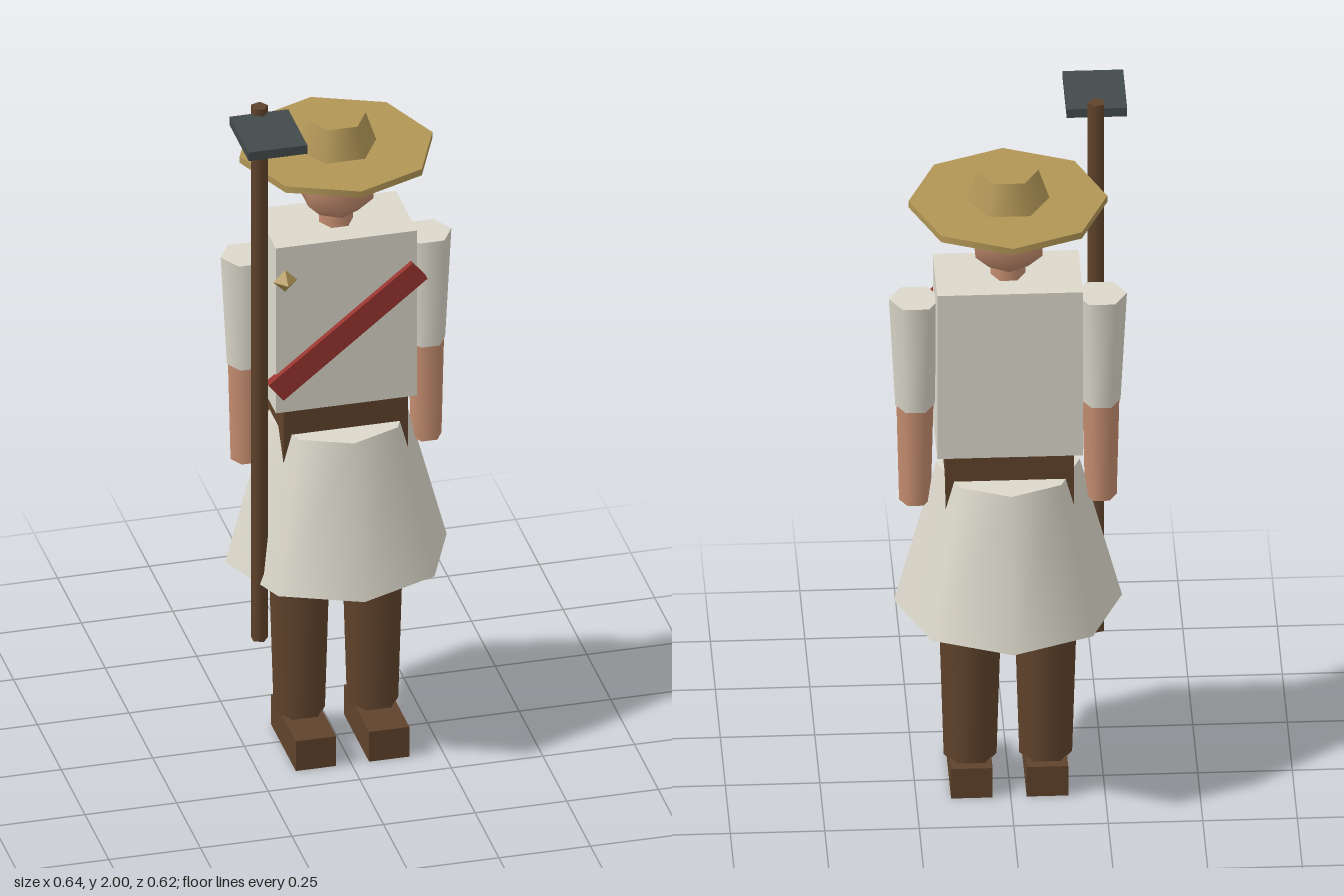
import * as THREE from 'three';

const CX = 0.003, CZ = -0.011; // body axis

function material(name, color) {
  const m = new THREE.MeshStandardMaterial({ color });
  m.name = name;
  return m;
}

export function createModel() {
  const cloth = material('offWhiteCloth', 0xdcd8cb);
  const brown = material('brownLeather', 0x60432c);
  const skin = material('skin', 0xc68e70);
  const straw = material('straw', 0xb29656);
  const red = material('redSash', 0x98342e);
  const iron = material('darkIron', 0x434a4b);

  const model = new THREE.Group();
  model.name = 'fieldWorker';

  function add(name, geometry, mat, x, y, z) {
    const mesh = new THREE.Mesh(geometry, mat);
    mesh.name = name;
    mesh.position.set(x, y, z);
    model.add(mesh);
    return mesh;
  }
  const box = (name, mat, w, h, d, x, y, z) =>
    add(name, new THREE.BoxGeometry(w, h, d), mat, x, y, z);
  // upright tapered prism between two heights, with one corner on the x axis
  function prism(name, mat, sides, rTop, rBottom, y0, y1, x = CX, z = CZ) {
    const g = new THREE.CylinderGeometry(rTop, rBottom, y1 - y0, sides);
    g.rotateY(Math.PI / 2);
    return add(name, g, mat, x, (y0 + y1) / 2, z);
  }

  // torso, belt and skirt
  box('torso', cloth, 0.385, 0.5, 0.22, CX, 1.305, CZ);
  box('belt', brown, 0.34, 0.185, 0.205, CX, 0.9625, CZ);
  prism('skirt', cloth, 8, 0.19, 0.302, 0.56, 0.98);

  // limbs, mirrored
  for (const [side, s] of [['left', 1], ['right', -1]]) {
    prism(side + 'Leg', brown, 6, 0.094, 0.07, 0.085, 0.9, CX + s * 0.1);
    box(side + 'Shoe', brown, 0.11, 0.09, 0.263, CX + s * 0.1, 0.045, 0.032);
    prism(side + 'Sleeve', cloth, 6, 0.069, 0.052, 1.16, 1.485, CX + s * 0.246);
    prism(side + 'Forearm', skin, 6, 0.049, 0.042, 0.87, 1.165, CX + s * 0.246);
  }

  // neck and head
  prism('neck', skin, 6, 0.046, 0.046, 1.54, 1.62);
  const headProfile = [[0, 1.578], [0.06, 1.593], [0.102, 1.635], [0.105, 1.69],
    [0.102, 1.75], [0.06, 1.79], [0, 1.8]].map(([r, y]) => new THREE.Vector2(r, y));
  add('head', new THREE.LatheGeometry(headProfile, 6), skin, CX, 0, CZ);

  // straw hat
  prism('hatBrim', straw, 8, 0.263, 0.263, 1.765, 1.784);
  prism('hatCrown', straw, 6, 0.081, 0.111, 1.78, 1.87);

  // sash across the chest and shoulder brooch
  box('sash', red, 0.503, 0.066, 0.025, 0.003, 1.283, 0.103).rotation.z = 0.675;
  add('brooch', new THREE.OctahedronGeometry(0.033), straw, -0.165, 1.455, 0.102);

  // long-handled hoe
  prism('hoeHandle', brown, 5, 0.0235, 0.0235, 0.386, 2, -0.238, 0.11);
  box('hoeBlade', iron, 0.16, 0.026, 0.2, -0.239, 1.967, 0.211);

  return model;
}
